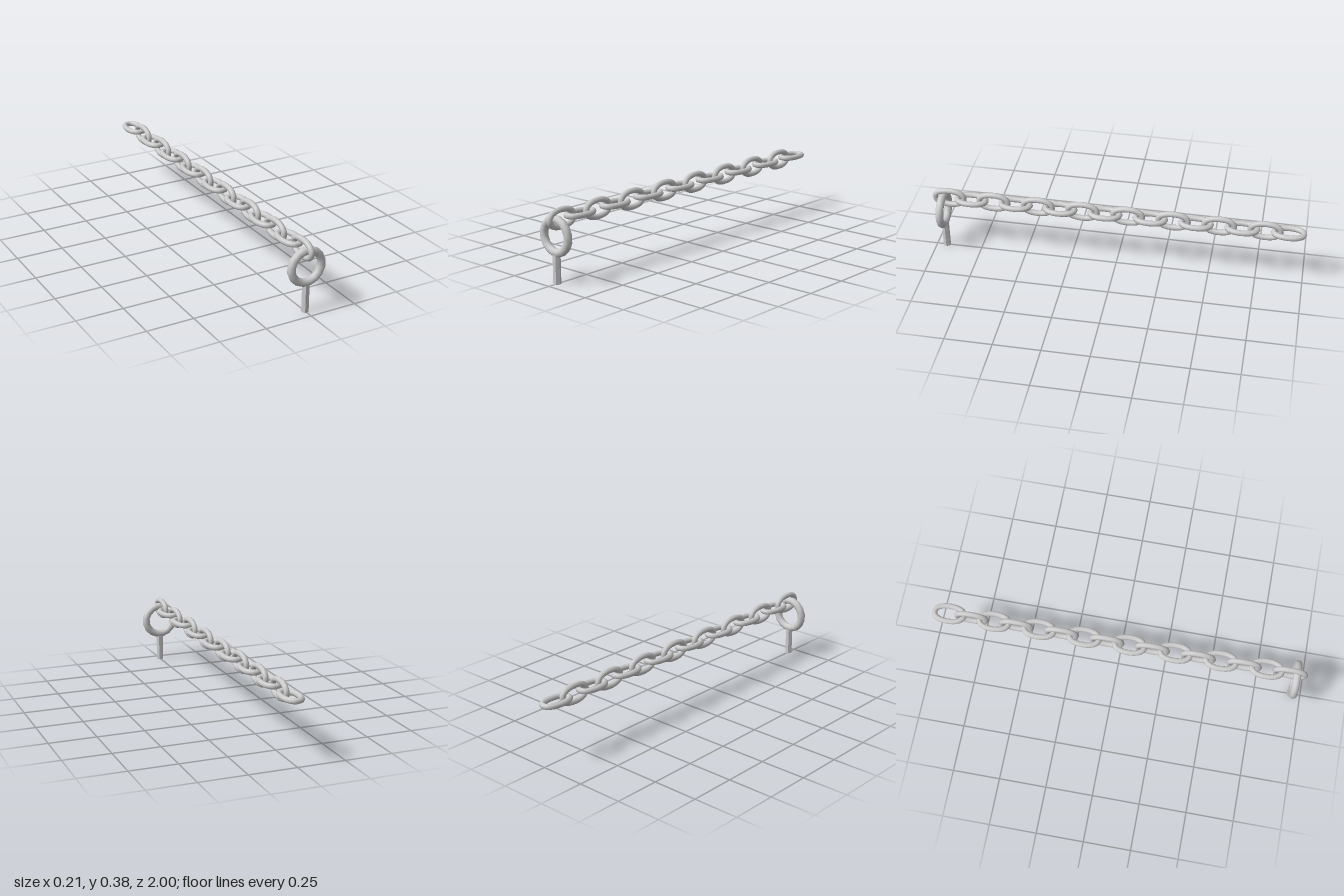
import * as THREE from 'three';

// Closed oval centre line of a link, lying in the y-z plane
class LinkCurve extends THREE.Curve {
  getPoint(t, target = new THREE.Vector3()) {
    const a = t * Math.PI * 2;
    const round = (v) => Math.sign(v) * Math.pow(Math.abs(v), 0.9);
    return target.set(0, 0.0425 * round(Math.sin(a)), 0.079 * round(Math.cos(a)));
  }
}

export function createModel() {
  const model = new THREE.Group();
  const metal = new THREE.MeshStandardMaterial({ color: 0xcccccc });
  const pinMetal = new THREE.MeshStandardMaterial({ color: 0xcccccc, flatShading: true });

  function add(parent, name, geometry, material, x, y, z) {
    const mesh = new THREE.Mesh(geometry, material);
    mesh.name = name;
    mesh.position.set(x, y, z);
    parent.add(mesh);
    return mesh;
  }

  // Anchor: an upright ring on a hexagonal pin
  const anchor = new THREE.Group();
  anchor.name = 'anchor';
  model.add(anchor);
  const ring = add(anchor, 'anchorRing', new THREE.TorusGeometry(0.084, 0.021, 10, 16), metal, 0, 0.24, 0.945);
  ring.rotation.z = Math.PI / 16;
  const pin = add(anchor, 'anchorPin', new THREE.CylinderGeometry(0.02, 0.02, 0.15, 6), pinMetal, 0, 0.075, 0.945);
  pin.rotation.y = Math.PI / 6;

  // Chain: links alternate between upright and flat
  const chain = new THREE.Group();
  chain.name = 'chain';
  model.add(chain);
  const linkGeometry = new THREE.TubeGeometry(new LinkCurve(), 24, 0.0152, 8, true);
  const count = 16, end = 0.906;
  for (let i = 0; i < count; i++) {
    const z = end - (2 * end * i) / (count - 1);
    const link = add(chain, 'chainLink' + (i + 1), linkGeometry, metal, 0, 0.322, z);
    if (i % 2) link.rotation.z = Math.PI / 2;
  }
  return model;
}
